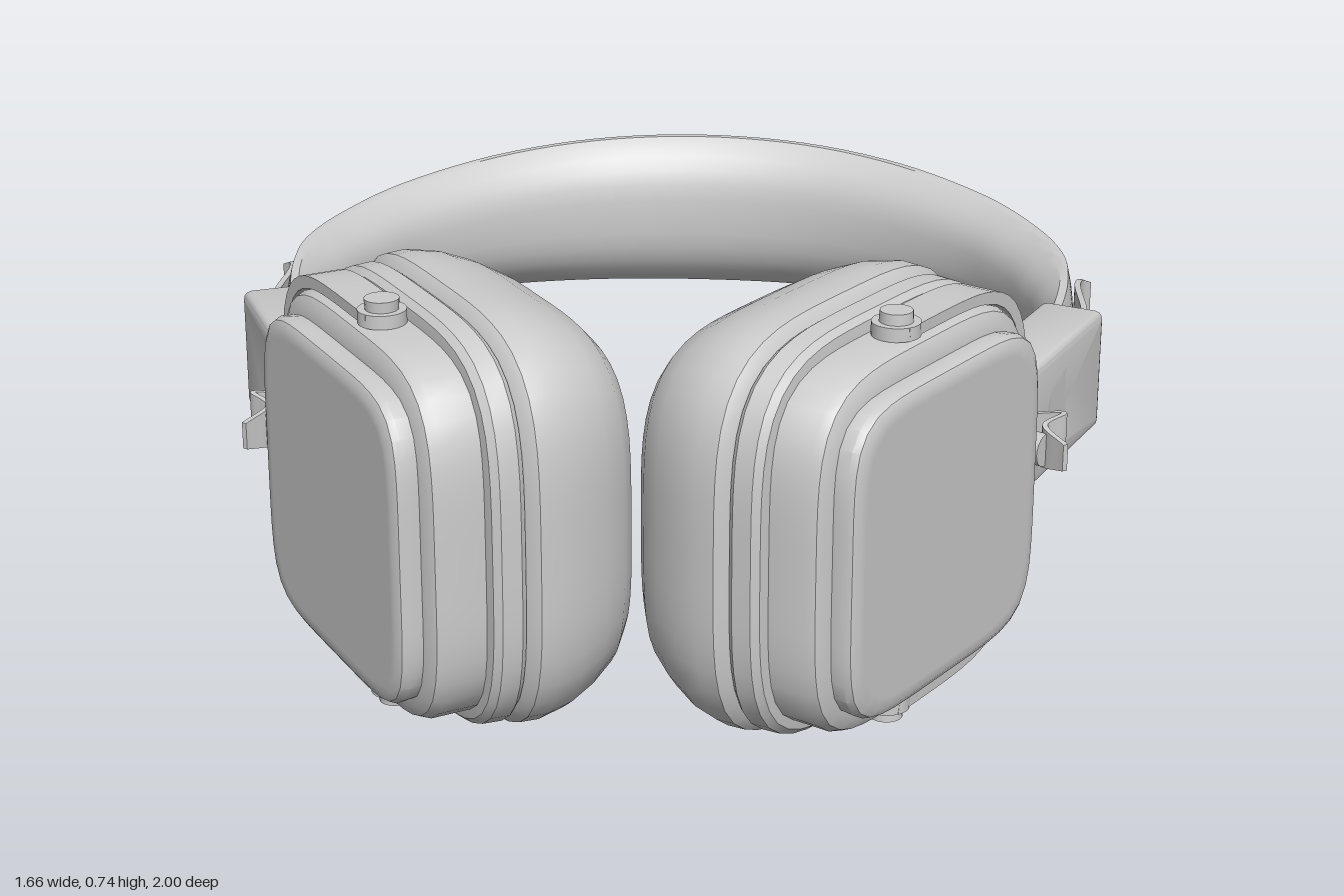
import * as THREE from 'three';
import { toCreasedNormals } from 'three/addons/utils/BufferGeometryUtils.js';

const MID = 0.375; // height of the horizontal symmetry plane
const grey = new THREE.MeshStandardMaterial({ color: 0xcccccc });
grey.name = 'lightGrey';

function add(parent, name, geometry) {
  const mesh = new THREE.Mesh(geometry, grey);
  mesh.name = name;
  parent.add(mesh);
  return mesh;
}

// Skin a list of equal-length rings of [x, y, z] and close both ends
function loft(rings) {
  const n = rings[0].length, pos = rings.flat(2), index = [];
  for (let i = 0; i < rings.length - 1; i++) {
    for (let j = 0; j < n; j++) {
      const a = i * n + j, b = i * n + (j + 1) % n;
      index.push(a, b, a + n, b, b + n, a + n);
    }
  }
  [[0, true], [rings.length - 1, false]].forEach(([r, flip]) => {
    const c = pos.length / 3;
    for (let k = 0; k < 3; k++) pos.push(rings[r].reduce((s, p) => s + p[k], 0) / n);
    for (let j = 0; j < n; j++) {
      const a = r * n + j, b = r * n + (j + 1) % n;
      if (flip) index.push(c, b, a); else index.push(c, a, b);
    }
  });
  const g = new THREE.BufferGeometry();
  g.setAttribute('position', new THREE.Float32BufferAttribute(pos, 3));
  g.setIndex(index);
  return toCreasedNormals(g, 0.6);
}

// Radius of a unit squircle at an angle
const squircle = (a, p) =>
  Math.pow(Math.pow(Math.abs(Math.cos(a)), p) + Math.pow(Math.abs(Math.sin(a)), p), -1 / p);

// Rounded-square solid from a profile of [z, half width]
function squircleSolid(profile, power, yScale) {
  return loft(profile.map(([z, half]) => {
    const ring = [];
    for (let j = 0; j < 64; j++) {
      const a = j / 64 * Math.PI * 2, r = half * squircle(a, power);
      ring.push([r * Math.cos(a), r * Math.sin(a) * yScale, z]);
    }
    return ring;
  }));
}

// Sweep an upright section along a horizontal path of [x, z, half height, thickness]
function sweep(path, section, steps) {
  const line = new THREE.CatmullRomCurve3(path.map(p => new THREE.Vector3(p[0], 0, p[1])), false, 'catmullrom');
  const size = new THREE.CatmullRomCurve3(path.map(p => new THREE.Vector3(p[2], p[3], 0)), false, 'catmullrom');
  const up = new THREE.Vector3(0, 1, 0), rings = [];
  for (let i = 0; i <= steps; i++) {
    const p = line.getPoint(i / steps), s = size.getPoint(i / steps);
    const out = line.getTangent(i / steps).cross(up).normalize();
    rings.push(section(s.x, s.y).map(([h, o]) => [p.x + out.x * o, h, p.z + out.z * o]));
  }
  return loft(rings);
}

const ribbon = (h, t) => [[h, -t / 2], [h, t / 2], [-h, t / 2], [-h, -t / 2]];

// Slightly crowned outside, padded bulge inside
function bandSection(h, t) {
  const outer = [], inner = [], edge = Math.min(0.03, t * 0.7);
  for (let i = 0; i <= 14; i++) {
    const f = Math.cos(i / 14 * Math.PI);
    outer.push([h * f, -0.014 * f * f]);
    inner.push([-h * f, -edge - (t - edge) * (1 - Math.abs(f) ** 3)]);
  }
  return [...outer, ...inner];
}

function earCup() {
  const cup = new THREE.Group();
  cup.name = 'earCup';
  cup.position.set(-0.19, 0, 0.304);
  cup.rotation.y = 1.012;
  add(cup, 'earCushion', squircleSolid([[0.393, 0.2], [0.393, 0.235], [0.399, 0.258], [0.416, 0.292], [0.445, 0.324],
    [0.49, 0.35], [0.54, 0.37], [0.59, 0.379], [0.625, 0.377], [0.642, 0.362], [0.648, 0.345]], 3.8, 0.98));
  add(cup, 'cushionRim', squircleSolid([[0.64, 0.34], [0.645, 0.36], [0.655, 0.367], [0.69, 0.365],
    [0.702, 0.355], [0.706, 0.33]], 3.9, 0.98));
  add(cup, 'housing', squircleSolid([[0.7, 0.335], [0.775, 0.335], [0.792, 0.328], [0.803, 0.31], [0.805, 0.28]], 4.3, 0.98));
  add(cup, 'outerPlate', squircleSolid([[0.8, 0.298], [0.828, 0.3], [0.84, 0.295], [0.847, 0.283],
    [0.847, 0.265]], 5.5, 0.95));

  // Half-loop yoke around the housing
  const rings = [];
  for (let i = 0; i <= 48; i++) {
    const a = (i / 48 * 2 - 1) * 1.71, k = squircle(a, 4.3);
    rings.push([[0.71, 0.332], [0.785, 0.332], [0.785, 0.352], [0.71, 0.352]]
      .map(([z, r]) => [r * k * Math.cos(a), r * k * Math.sin(a), z]));
  }
  add(cup, 'yoke', loft(rings));
  for (const s of [1, -1]) {
    add(cup, 'yokeEnd', new THREE.CylinderGeometry(0.042, 0.042, 0.024, 24)).position.set(-0.03, s * 0.341, 0.747);
    add(cup, 'pivotScrew', new THREE.CylinderGeometry(0.028, 0.03, 0.03, 20)).position.set(-0.03, s * 0.357, 0.747);
  }
  const barrel = add(cup, 'hingeBarrel', new THREE.CylinderGeometry(0.03, 0.03, 0.07, 20));
  barrel.rotation.x = Math.PI / 2;
  barrel.position.set(0.385, 0, 0.775);
  return cup;
}

function slider() {
  const group = new THREE.Group();
  group.name = 'slider';
  group.position.set(0.695, 0, 0.129);
  group.rotation.y = -0.41;
  // Block outline: length along x, height along y
  const l = 0.191, h = 0.118, r = 0.02, b = 0.016;
  const shape = new THREE.Shape();
  shape.moveTo(-l + r, -h);
  shape.lineTo(l - r, -h).quadraticCurveTo(l, -h, l, -h + r);
  shape.lineTo(l, h - r).quadraticCurveTo(l, h, l - r, h);
  shape.lineTo(-l + r, h).quadraticCurveTo(-l, h, -l, h - r);
  shape.lineTo(-l, -h + r).quadraticCurveTo(-l, -h, -l + r, -h);
  const slot = new THREE.Path();
  slot.moveTo(0.022, -0.062);
  slot.lineTo(0.022, 0.062).lineTo(0.072, 0.062).lineTo(0.072, -0.062).lineTo(0.022, -0.062);
  shape.holes.push(slot);
  const body = new THREE.ExtrudeGeometry(shape, {
    depth: 0.094, bevelEnabled: true, bevelThickness: b, bevelSize: b, bevelOffset: -b, bevelSegments: 3, curveSegments: 5,
  });
  body.translate(0, 0, -0.047).rotateY(-Math.PI / 2);
  add(group, 'sliderBlock', toCreasedNormals(body, 0.6));
  // Floor of the slot, flush with the outer face
  add(group, 'slotFloor', new THREE.BoxGeometry(0.07, 0.156, 0.082)).position.set(0.028, 0, 0.047);
  add(group, 'hingeTongue', new THREE.BoxGeometry(0.03, 0.07, 0.12)).position.set(0.005, 0, 0.225);
  return group;
}

// One side; every part but the cable is symmetric about its middle height
function side(sign) {
  const group = new THREE.Group();
  group.name = sign > 0 ? 'leftSide' : 'rightSide';
  group.position.y = MID;
  if (sign < 0) group.rotation.z = Math.PI;
  group.add(earCup(), slider());
  add(group, 'sizeStrip', sweep([[0.785, 0, 0.045, 0.012], [0.798, -0.1, 0.045, 0.012], [0.805, -0.23, 0.045, 0.012],
    [0.8, -0.36, 0.045, 0.012], [0.808, -0.415, 0.042, 0.012], [0.828, -0.44, 0.03, 0.01]], ribbon, 30));
  add(group, 'hingeClip', sweep([[0.64, 0.315, 0.03, 0.01], [0.735, 0.345, 0.05, 0.01], [0.7, 0.385, 0.04, 0.01],
    [0.735, 0.44, 0.025, 0.01]], ribbon, 24));
  // Thin cable looping from the slider into the cup
  const loop = [[0.6, 0.03, 0.29], [0.6, 0.12, 0.33], [0.63, 0.18, 0.355], [0.665, 0.13, 0.37],
    [0.655, 0.05, 0.34], [0.61, 0.0, 0.36], [0.6, -0.03, 0.4]];
  const curve = new THREE.CatmullRomCurve3(loop.map(([x, y, z]) => new THREE.Vector3(x, y * sign, z)));
  add(group, 'cable', new THREE.TubeGeometry(curve, 48, 0.007, 8));
  return group;
}

export function createModel() {
  const model = new THREE.Group();
  model.name = 'headphones';

  // Headband, mirrored from one half of its path
  const half = [[0.735, 0.01, 0.085, 0.035], [0.77, -0.13, 0.09, 0.055], [0.787, -0.26, 0.1, 0.078],
    [0.782, -0.39, 0.108, 0.095], [0.733, -0.55, 0.113, 0.1], [0.63, -0.715, 0.127, 0.1],
    [0.45, -0.87, 0.147, 0.1], [0.235, -0.968, 0.161, 0.098]];
  const path = [...half, [0, -1, 0.166, 0.098], ...half.map(([x, ...rest]) => [-x, ...rest]).reverse()];
  add(model, 'headband', sweep(path, bandSection, 80)).position.y = MID;

  model.add(side(1), side(-1));
  return model;
}
